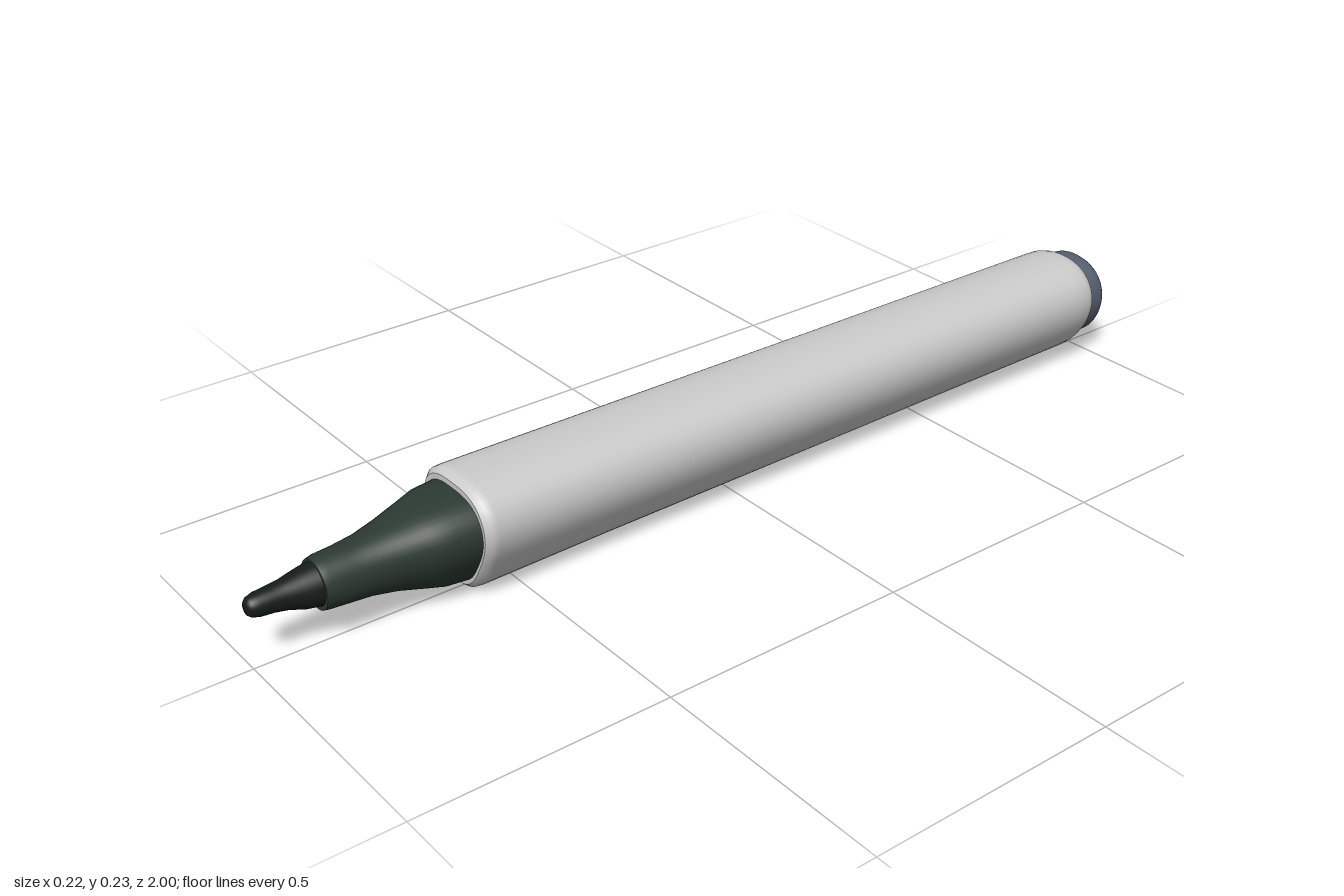
import * as THREE from 'three';

const SIDES = 48;

// Lofts rounded-triangle sections along z.
// Row: [z, bottom, top, halfWidth, triangularity]; a repeated row makes a sharp edge.
function loft(name, rows, color) {
  const pos = [], index = [];
  rows.forEach(([z, bottom, top, halfWidth, tri], i) => {
    const h = (top - bottom) / 2;
    const cy = bottom + h * (1 + tri);
    for (let j = 0; j < SIDES; j++) {
      const t = (j / SIDES) * Math.PI * 2;
      const r = 1 + tri * Math.cos(3 * (t + Math.PI / 2));
      pos.push((halfWidth * r * Math.cos(t)) / (1 + 0.25 * tri), cy + h * r * Math.sin(t), z);
      if (i < rows.length - 1) {
        const a = i * SIDES + j, b = i * SIDES + ((j + 1) % SIDES);
        index.push(a, b, b + SIDES, a, b + SIDES, a + SIDES);
      }
    }
  });
  const geo = new THREE.BufferGeometry();
  geo.setAttribute('position', new THREE.Float32BufferAttribute(pos, 3));
  geo.setIndex(index);
  geo.computeVertexNormals();
  const mesh = new THREE.Mesh(geo, new THREE.MeshStandardMaterial({ color }));
  mesh.name = name;
  return mesh;
}

// Row shrunk to its middle, used to close an end.
const close = ([z, b, t, , e]) => [z, (b + t) / 2, (b + t) / 2, 0, e];

export function createModel() {
  const group = new THREE.Group();
  group.name = 'markerPen';

  // Long barrel, slightly slimmer and rounder towards the back
  const back = [-0.955, 0.032, 0.218, 0.093, 0.05];
  const front = [0.595, 0.012, 0.217, 0.1, 0.09];
  group.add(loft('barrel', [
    close(back), back, back,
    [-0.95, 0.025, 0.226, 0.099, 0.05],
    [-0.935, 0.021, 0.23, 0.103, 0.05],
    [-0.9, 0.019, 0.23, 0.105, 0.055],
    [-0.3, 0.012, 0.228, 0.107, 0.07],
    [0.3, 0.006, 0.227, 0.109, 0.085],
    [0.57, 0.001, 0.227, 0.11, 0.09],
    [0.585, 0.003, 0.226, 0.109, 0.09],
    front, front, close(front),
  ], 0xcccccc));

  // Plug at the back end
  const plugBack = [-1, 0.042, 0.211, 0.084, 0.03];
  const plugFront = [-0.94, 0.038, 0.216, 0.09, 0.03];
  group.add(loft('endPlug', [
    close(plugBack), plugBack, plugBack,
    [-0.993, 0.037, 0.216, 0.089, 0.03],
    [-0.975, 0.036, 0.217, 0.09, 0.03],
    plugFront, plugFront, close(plugFront),
  ], 0x566070));

  // Tapered nose
  const noseFront = [0.873, 0.071, 0.165, 0.046, 0];
  group.add(loft('nose', [
    [0.58, 0.02, 0.207, 0.095, 0.09],
    [0.64, 0.025, 0.202, 0.09, 0.09],
    [0.68, 0.037, 0.194, 0.079, 0.07],
    [0.73, 0.052, 0.184, 0.064, 0.05],
    [0.78, 0.062, 0.176, 0.053, 0.02],
    [0.82, 0.066, 0.172, 0.05, 0],
    [0.86, 0.069, 0.169, 0.048, 0],
    noseFront, noseFront, close(noseFront),
  ], 0x2c3a31));

  // Nib
  const nibFront = [1, 0.11, 0.135, 0.012, 0];
  group.add(loft('nib', [
    [0.865, 0.078, 0.162, 0.041, 0],
    [0.9, 0.084, 0.156, 0.035, 0],
    [0.93, 0.094, 0.15, 0.027, 0],
    [0.955, 0.099, 0.147, 0.024, 0],
    [0.98, 0.101, 0.145, 0.022, 0],
    [0.994, 0.105, 0.141, 0.018, 0],
    nibFront, close(nibFront),
  ], 0x161c19));

  return group;
}
